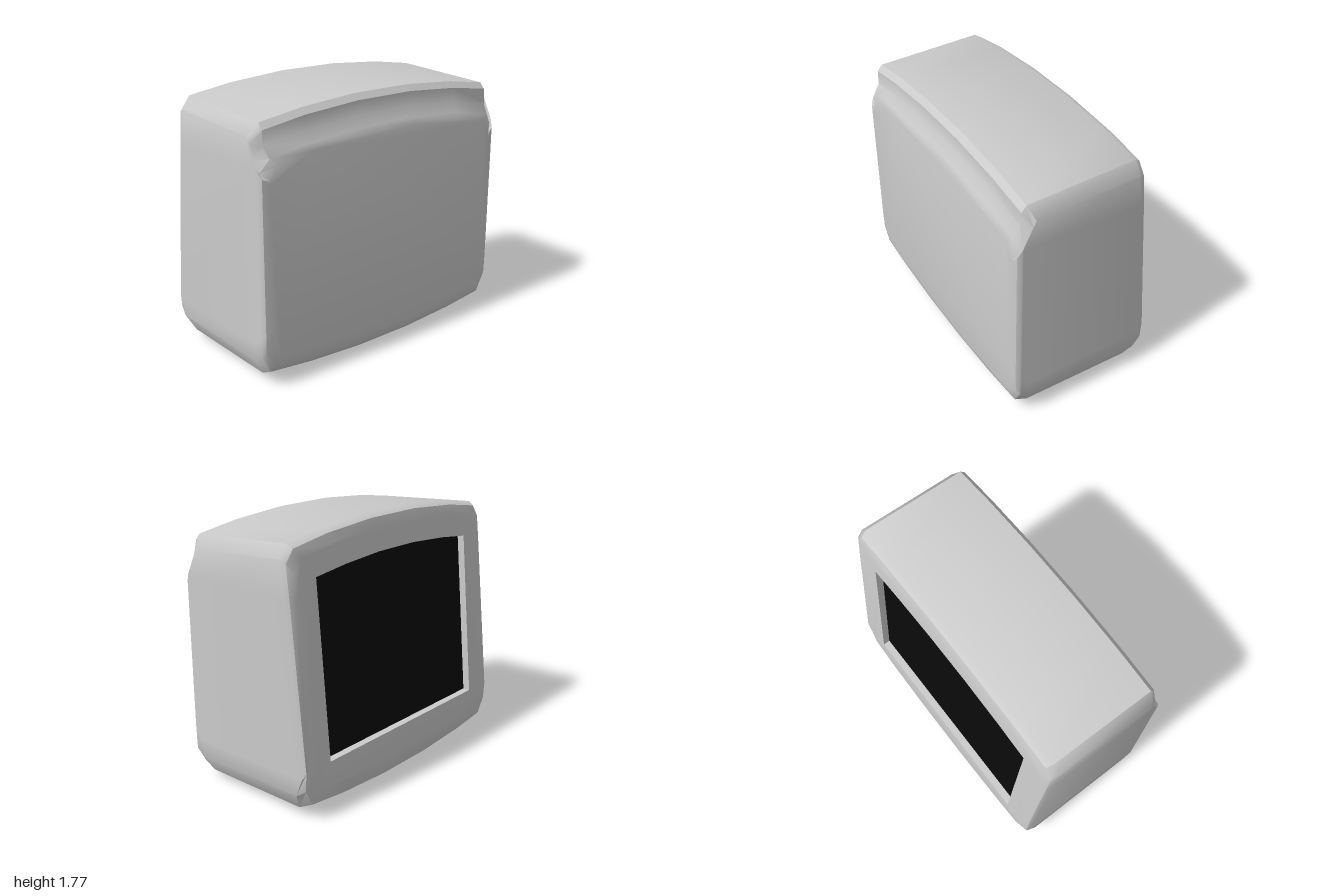
import * as THREE from 'three';
import { mergeGeometries, toCreasedNormals } from 'three/addons/utils/BufferGeometryUtils.js';

// Slanted plane of the screen side
const backZ = (y) => -0.515 + 0.09 * (y - 0.15);
const lerp = THREE.MathUtils.lerp;

// Mirror a right-hand half outline (bottom to top) into a closed counter-clockwise loop
const mirror = (half) => [...half, ...half.slice().reverse().map(([x, y, z]) => [-x, y, z])];

// One cross-section of the case: bowed top and bottom, chamfered corners.
// hw half width; b/t = bottom/top centre; zl/zm = side depth low and high; inset = how far the upper side is set back
function section({ hw, zb, yb, zl, zm, zt, yt, inset = 0, slant = false }) {
  const hi = yt - 0.155, mid = Math.min(1.4, hi - 0.03);
  const half = [
    [0.22, yb, zb],
    [0.63, yb + 0.025, zb],
    [hw - 0.06, yb + 0.06, zb],
    [hw, yb + 0.17, lerp(zb, zl, 0.4)],
    [hw, yb + 0.29, zl],
    [hw, mid, zm],
    [hw, hi, zt - inset],
    [hw - 0.06, yt - 0.075, zt],
    [0.63, yt - 0.03, zt],
    [0.22, yt, zt],
  ];
  return mirror(slant ? half.map(([x, y]) => [x, y, backZ(y)]) : half);
}

// Skin a list of loops of equal length
function loft(loops, flip = false) {
  const pos = loops.flat(2), n = loops[0].length, idx = [];
  for (let r = 0; r < loops.length - 1; r++) {
    for (let i = 0; i < n; i++) {
      const j = (i + 1) % n, a = r * n + i, b = a + n, c = (r + 1) * n + j, d = r * n + j;
      if (flip) idx.push(a, c, b, a, d, c);
      else idx.push(a, b, c, a, c, d);
    }
  }
  const g = new THREE.BufferGeometry();
  g.setAttribute('position', new THREE.Float32BufferAttribute(pos, 3));
  g.setIndex(idx);
  return g;
}

// Fill an outline (with optional hole), placing each point at depth z(y)
function cap(loop, z, flip, hole) {
  const to2 = (l) => l.map(([x, y]) => new THREE.Vector2(x, y));
  const shape = new THREE.Shape(to2(loop));
  if (hole) shape.holes.push(new THREE.Path(to2(hole)));
  const g = new THREE.ShapeGeometry(shape);
  const p = g.attributes.position;
  for (let i = 0; i < p.count; i++) p.setZ(i, z(p.getY(i)));
  if (flip) {
    const a = g.index.array;
    for (let i = 0; i < a.length; i += 3) [a[i], a[i + 1]] = [a[i + 1], a[i]];
  }
  g.deleteAttribute('normal');
  g.deleteAttribute('uv');
  return g;
}

function smooth(parts, crease) {
  return toCreasedNormals(mergeGeometries(parts.map((g) => g.toNonIndexed())), crease);
}

export function createModel() {
  const group = new THREE.Group();
  const add = (name, geometry, color) => {
    const mesh = new THREE.Mesh(geometry, new THREE.MeshStandardMaterial({ color }));
    mesh.name = name;
    group.add(mesh);
  };

  // Case sections, from the flat +z panel over the stepped top to the screen side
  const rings = [
    { hw: 0.94, zb: 0.515, yb: 0.13, zl: 0.515, zm: 0.515, zt: 0.515, yt: 1.49 },
    { hw: 0.985, zb: 0.5, yb: 0.08, zl: 0.505, zm: 0.505, zt: 0.5, yt: 1.535, inset: 0.02 },
    { hw: 1, zb: 0.48, yb: 0.045, zl: 0.48, zm: 0.48, zt: 0.455, yt: 1.6, inset: 0.04 },
    { hw: 1, zb: 0.46, yb: 0.035, zl: 0.47, zm: 0.47, zt: 0.453, yt: 1.695, inset: 0.043 },
    { hw: 1, zb: 0.39, yb: 0, zl: 0.42, zm: 0.41, zt: 0.42, yt: 1.735, inset: 0.03 },
    { hw: 1, zb: -0.39, yb: 0, zl: -0.47, zm: -0.355, zt: -0.32, yt: 1.775 },
    { hw: 0.985, zb: -0.485, yb: 0.045, zl: -0.495, zm: -0.385, zt: -0.363, yt: 1.75 },
    { hw: 0.94, yb: 0.14, yt: 1.69, slant: true },
  ].map(section);

  // Screen opening: straight bottom, bowed top
  const opening = mirror([[0.77, 0.34], [0.77, 1.485], [0.5, 1.515], [0.18, 1.535]]);
  const depth = 0.05;
  const rim = (d) => opening.map(([x, y]) => [x, y, backZ(y) + d]);

  add('case', smooth([
    loft(rings),
    cap(rings[0], () => 0.515, false),
    cap(rings[rings.length - 1], backZ, true, opening),
  ], 0.65), 0xcccccc);

  // Walls of the screen recess
  add('screenRecess', smooth([loft([rim(depth), rim(0)], false)].map((g) => {
    const a = g.index.array;
    for (let i = 0; i < a.length; i += 3) [a[i], a[i + 1]] = [a[i + 1], a[i]];
    return g;
  }), 0.5), 0xcccccc);

  // Dark screen
  add('screen', smooth([cap(opening, (y) => backZ(y) + depth, true)], 0.5), 0x0a0a0a);

  return group;
}
